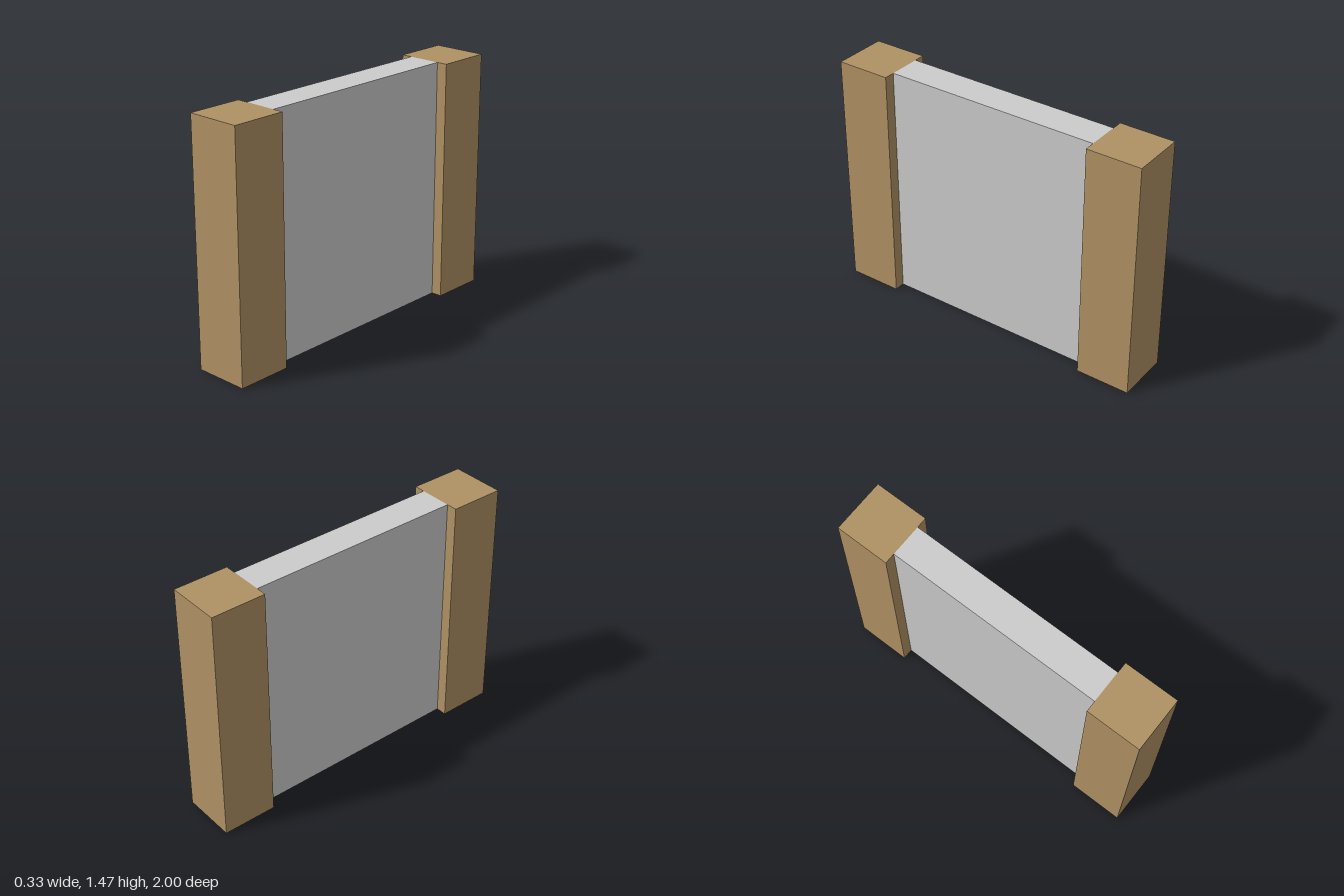
import * as THREE from 'three';

const HEIGHT = 1.467;
const POST = 0.333;
const PANEL_THICKNESS = 0.2;

export function createModel() {
  const group = new THREE.Group();
  group.name = 'wallSection';

  const wood = new THREE.MeshStandardMaterial({ color: 0xb09264, flatShading: true });
  const grey = new THREE.MeshStandardMaterial({ color: 0xcccccc, flatShading: true });

  const addBox = (name, width, depth, z, material) => {
    const mesh = new THREE.Mesh(new THREE.BoxGeometry(width, HEIGHT, depth), material);
    mesh.name = name;
    mesh.position.set(0, HEIGHT / 2, z);
    group.add(mesh);
  };

  // Square end posts
  const postZ = 1 - POST / 2;
  addBox('frontPost', POST, POST, postZ, wood);
  addBox('backPost', POST, POST, -postZ, wood);

  // Infill panel spanning between the posts
  addBox('panel', PANEL_THICKNESS, 2 - 2 * POST, 0, grey);

  return group;
}
